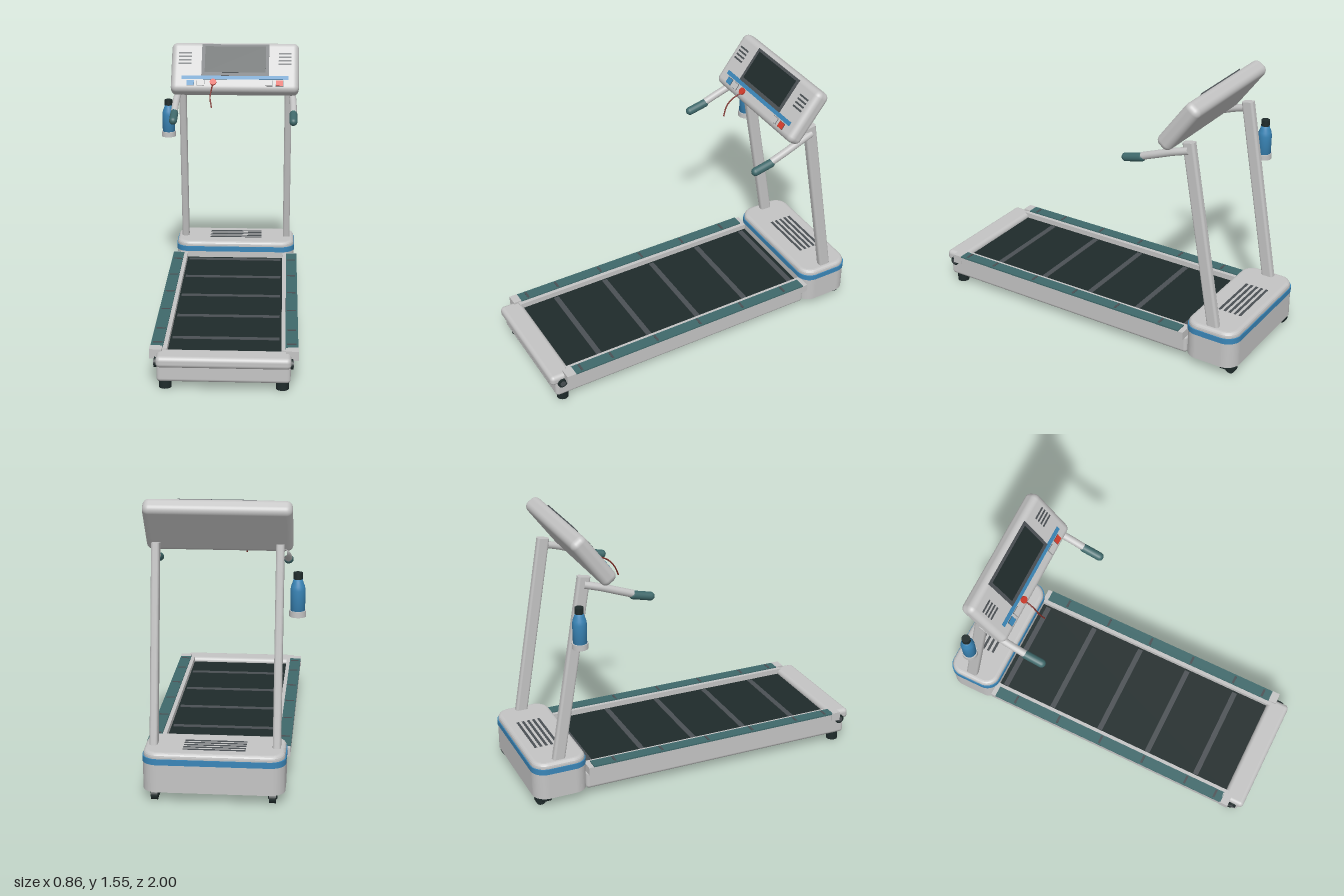
import * as THREE from 'three';
import { RoundedBoxGeometry } from 'three/addons/geometries/RoundedBoxGeometry.js';

const mat = (name, color) => Object.assign(new THREE.MeshStandardMaterial({ color }), { name });

export function createModel() {
  const M = {
    body: mat('light grey shell', 0xc4c4c4),
    blue: mat('blue accent', 0x3a86b8),
    dark: mat('dark belt and rubber', 0x1f2b2b),
    teal: mat('teal grip', 0x3f696b),
    slate: mat('slate trim', 0x4b5054),
    red: mat('red button', 0xd23c2c),
    cord: mat('dark red cord', 0x7a2a24),
  };
  const root = new THREE.Group();
  root.name = 'treadmill';
  const machine = new THREE.Group();
  machine.name = 'machine';
  machine.position.x = 0.035;
  root.add(machine);

  const add = (parent, name, geo, m, x = 0, y = 0, z = 0) => {
    const mesh = new THREE.Mesh(geo, m);
    mesh.name = name;
    mesh.position.set(x, y, z);
    parent.add(mesh);
    return mesh;
  };
  const box = (w, h, d) => new THREE.BoxGeometry(w, h, d);
  const rbox = (w, h, d, r) => new RoundedBoxGeometry(w, h, d, 4, r);
  const cyl = (r, h) => new THREE.CylinderGeometry(r, r, h, 24);
  const tube = (pts, r) => new THREE.TubeGeometry(
    new THREE.CatmullRomCurve3(pts.map(p => new THREE.Vector3(...p))), 24, r, 14);

  // Slab with rounded plan corners, standing on y = 0
  const slab = (w, d, h, r, bevel = 0) => {
    const x = w / 2 - bevel, y = d / 2 - bevel, s = new THREE.Shape();
    s.absarc(x - r, y - r, r, 0, Math.PI / 2);
    s.absarc(-x + r, y - r, r, Math.PI / 2, Math.PI);
    s.absarc(-x + r, -y + r, r, Math.PI, Math.PI * 1.5);
    s.absarc(x - r, -y + r, r, Math.PI * 1.5, Math.PI * 2);
    const g = new THREE.ExtrudeGeometry(s, {
      depth: h - 2 * bevel, bevelEnabled: bevel > 0, bevelSize: bevel,
      bevelThickness: bevel, bevelSegments: 4, curveSegments: 8,
    });
    return g.translate(0, 0, bevel).rotateX(-Math.PI / 2);
  };

  // Running deck, recessed belt and rear roller cover
  add(machine, 'deck', rbox(0.705, 0.109, 1.665, 0.02), M.body, 0, 0.1015, 0.1395);
  add(machine, 'belt', box(0.604, 0.04, 1.56), M.dark, 0, 0.15, 0.1);
  add(machine, 'rearRollerCover', rbox(0.71, 0.062, 0.13, 0.024), M.body, 0, 0.166, 0.935);
  for (let i = 0; i < 5; i++) {
    add(machine, 'beltStripe', box(0.582, 0.004, 0.032), M.slate, 0, 0.171, 0.66 - i * 0.325);
  }

  // Motor hood with blue band and vents
  const hood = new THREE.Group();
  hood.name = 'motorHood';
  hood.position.z = -0.84;
  machine.add(hood);
  add(hood, 'hoodBase', slab(0.75, 0.314, 0.155, 0.08), M.body, 0, 0.055);
  add(hood, 'hoodBand', slab(0.756, 0.32, 0.032, 0.083), M.blue, 0, 0.208);
  add(hood, 'hoodTop', slab(0.745, 0.31, 0.071, 0.06, 0.022), M.body, 0, 0.2);
  for (let i = 0; i < 5; i++) {
    add(hood, 'hoodVent', box(0.33, 0.003, 0.015), M.slate, 0, 0.271, -0.08 + i * 0.0315);
  }

  for (const s of [-1, 1]) {
    // Side rails with teal tread and cross ribs
    add(machine, 'sideRail', box(0.088, 0.047, 1.58), M.body, s * 0.346, 0.1785, 0.1);
    add(machine, 'railTread', box(0.067, 0.008, 1.53), M.teal, s * 0.358, 0.205, 0.105);
    for (const z of [0.82, 0.625, 0.335, 0.05, -0.24, -0.53]) {
      add(machine, 'treadRib', box(0.05, 0.004, 0.013), M.slate, s * 0.356, 0.2095, z);
    }
    add(machine, 'railEndCap', box(0.067, 0.052, 0.055), M.body, s * 0.36, 0.183, 0.89);

    // Roller bolt, rear foot and front caster
    add(machine, 'rollerBolt', cyl(0.027, 0.024).rotateZ(Math.PI / 2), M.dark, s * 0.354, 0.145, 0.935);
    add(machine, 'boltHub', cyl(0.016, 0.008).rotateZ(Math.PI / 2), M.slate, s * 0.365, 0.145, 0.935);
    add(machine, 'rearFoot', cyl(0.034, 0.048), M.dark, s * 0.31, 0.024, 0.918);
    add(machine, 'casterWheel', cyl(0.03, 0.036).rotateZ(Math.PI / 2), M.dark, s * 0.31, 0.03, -0.955);
    add(machine, 'casterFork', rbox(0.05, 0.045, 0.06, 0.01), M.dark, s * 0.31, 0.037, -0.922);

    // Leaning upright with softened edges
    const post = add(machine, 'upright', slab(0.043, 0.07, 1.08, 0.014), M.body, s * 0.3255, 0.253, -0.848);
    post.rotation.x = 0.17;

    // Handlebar and grip
    add(machine, 'handlebar', tube([[s * 0.34, 1.275, -0.67], [s * 0.351, 1.25, -0.58],
      [s * 0.356, 1.218, -0.49], [s * 0.357, 1.185, -0.4]], 0.021), M.body);
    const grip = add(machine, 'grip', new THREE.CapsuleGeometry(0.024, 0.1, 6, 18), M.teal,
      s * 0.357, 1.166, -0.348);
    grip.rotation.x = Math.PI / 2 + 0.23;
  }

  // Tilted console
  const con = new THREE.Group();
  con.name = 'console';
  con.position.set(0, 1.405, -0.621);
  con.rotation.x = -0.6435;
  machine.add(con);
  const F = 0.0475;
  add(con, 'consoleShell', rbox(0.777, 0.33, 0.095, 0.035), M.body);
  add(con, 'screenFrame', box(0.41, 0.212, 0.008), M.slate, 0.002, 0.037, F);
  add(con, 'screen', box(0.37, 0.174, 0.004), M.dark, 0.002, 0.041, F + 0.004);
  add(con, 'accentBar', box(0.647, 0.024, 0.006), M.blue, 0.002, -0.08, F);
  for (const [x, m] of [[-0.268, M.blue], [-0.206, M.body], [0.206, M.body], [0.272, M.red]]) {
    add(con, 'buttonBezel', box(0.046, 0.037, 0.004), M.slate, x, -0.116, F);
    add(con, 'button', box(0.043, 0.034, 0.008), m, x, -0.116, F + 0.001);
  }
  add(con, 'safetyKey', cyl(0.02, 0.016).rotateX(Math.PI / 2), M.red, -0.13, -0.113, F + 0.004);
  for (const s of [-1, 1]) {
    for (let i = 0; i < 4; i++) {
      add(con, 'speakerSlit', box(0.078, 0.01, 0.004), M.slate, s * 0.304, 0.084 - i * 0.0235, F);
    }
  }
  add(machine, 'safetyCord', tube([[-0.13, 1.34, -0.515], [-0.137, 1.312, -0.455],
    [-0.143, 1.27, -0.418], [-0.133, 1.213, -0.392]], 0.004), M.cord);

  // Water bottle in its holder ring
  const bottle = new THREE.Group();
  bottle.name = 'bottle';
  bottle.position.set(-0.421, 0.955, -0.731);
  machine.add(bottle);
  add(bottle, 'bottleHolder', cyl(0.044, 0.032), M.body, 0, 0.016);
  const profile = [[0, 0.02], [0.038, 0.02], [0.039, 0.14], [0.036, 0.162], [0.027, 0.185],
    [0.022, 0.205], [0, 0.205]].map(p => new THREE.Vector2(...p));
  add(bottle, 'bottleBody', new THREE.LatheGeometry(profile, 28), M.blue);
  add(bottle, 'bottleCap', cyl(0.024, 0.035), M.dark, 0, 0.216);

  return root;
}
